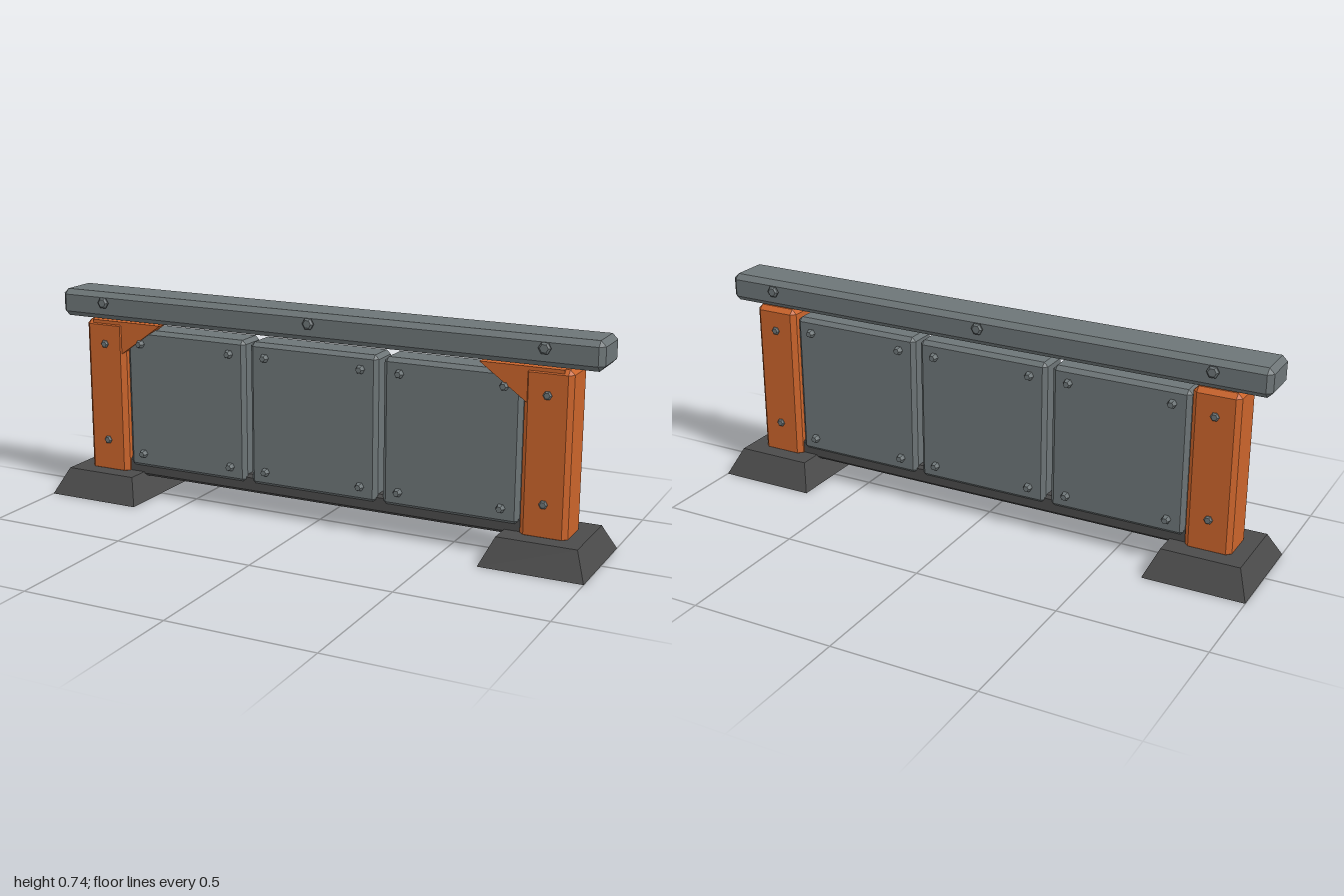
import * as THREE from 'three';
import { ConvexGeometry } from 'three/addons/geometries/ConvexGeometry.js';

const makeMaterial = (name, color) => {
  const m = new THREE.MeshStandardMaterial({ color });
  m.name = name;
  return m;
};

// Box with all twelve edges chamfered by c, spanning min to max
function chamferBox(min, max, c) {
  const centre = min.map((v, i) => (v + max[i]) / 2);
  const half = min.map((v, i) => (max[i] - v) / 2);
  const points = [];
  for (const sx of [-1, 1]) for (const sy of [-1, 1]) for (const sz of [-1, 1]) {
    const s = [sx, sy, sz];
    for (let full = 0; full < 3; full++) {
      points.push(new THREE.Vector3(...s.map((v, i) =>
        centre[i] + v * (half[i] - (i === full ? 0 : c)))));
    }
  }
  return new ConvexGeometry(points);
}

// Truncated pyramid: bottom and top half sizes, standing on y = 0
function footGeometry(bx, bz, tx, tz, h) {
  const points = [];
  for (const sx of [-1, 1]) for (const sz of [-1, 1]) {
    points.push(new THREE.Vector3(sx * bx, 0, sz * bz), new THREE.Vector3(sx * tx, h, sz * tz));
  }
  return new ConvexGeometry(points);
}

// Hexagonal bolt head pointing along +z, with a bevelled rim
function boltGeometry(r, depth) {
  const points = [];
  for (const [radius, z] of [[r, 0], [r, depth * 0.5], [r * 0.68, depth]]) {
    for (let i = 0; i < 6; i++) {
      const a = i * Math.PI / 3;
      points.push(new THREE.Vector3(radius * Math.cos(a), radius * Math.sin(a), z));
    }
  }
  return new ConvexGeometry(points);
}

export function createModel() {
  const root = new THREE.Group();
  root.name = 'barrier';
  const steel = makeMaterial('greySteel', 0x6d7577);
  const orange = makeMaterial('orangePaint', 0xcb642b);
  const dark = makeMaterial('darkConcrete', 0x4b4b4b);

  const add = (name, geometry, material, x = 0, y = 0, z = 0) => {
    const mesh = new THREE.Mesh(geometry, material);
    mesh.name = name;
    mesh.position.set(x, y, z);
    root.add(mesh);
    return mesh;
  };

  // A matching bolt on the front and the back
  const boltPair = (name, geometry, x, y, z) => {
    add(name + 'Front', geometry, steel, x, y, z);
    add(name + 'Back', geometry, steel, x, y, -z).rotation.y = Math.PI;
  };

  // Horizontal rails
  add('topRail', chamferBox([-1, 0.645, -0.08], [1, 0.742, 0.08], 0.018), steel);
  add('lowerRail', chamferBox([-0.78, 0.075, -0.05], [0.78, 0.14, 0.05], 0.01), dark);
  const railBolt = boltGeometry(0.021, 0.012);
  for (const x of [-0.815, 0, 0.815]) boltPair('railBolt', railBolt, x, 0.707, 0.086);

  // Three wall panels with a bolt in each corner
  const panel = chamferBox([-0.24, 0.11, -0.06], [0.24, 0.617, 0.06], 0.014);
  const panelBolt = boltGeometry(0.015, 0.022);
  for (const x of [-0.5, 0, 0.5]) {
    add('panel', panel, steel, x);
    for (const dx of [-0.18, 0.18]) for (const y of [0.163, 0.567]) {
      boltPair('panelBolt', panelBolt, x + dx, y, 0.058);
    }
  }

  // End posts on wide feet, each with a gusset at the front
  const foot = footGeometry(0.175, 0.183, 0.135, 0.13, 0.09);
  const post = chamferBox([-0.08, 0.075, -0.072], [0.08, 0.64, 0.072], 0.016);
  const postBolt = boltGeometry(0.015, 0.011);
  for (const side of [-1, 1]) {
    const x = side * 0.825;
    add('foot', foot, dark, x);
    add('post', post, orange, x);
    for (const y of [0.2, 0.555]) boltPair('postBolt', postBolt, x, y, 0.07);

    const outline = new THREE.Shape([
      [0.875, 0.64], [0.595, 0.64], [0.755, 0.525], [0.875, 0.525],
    ].map(([px, py]) => new THREE.Vector2(side * px, py)));
    add('gusset', new THREE.ExtrudeGeometry(outline, { depth: 0.038, bevelEnabled: false }),
      orange, 0, 0, 0.03);
  }
  return root;
}
